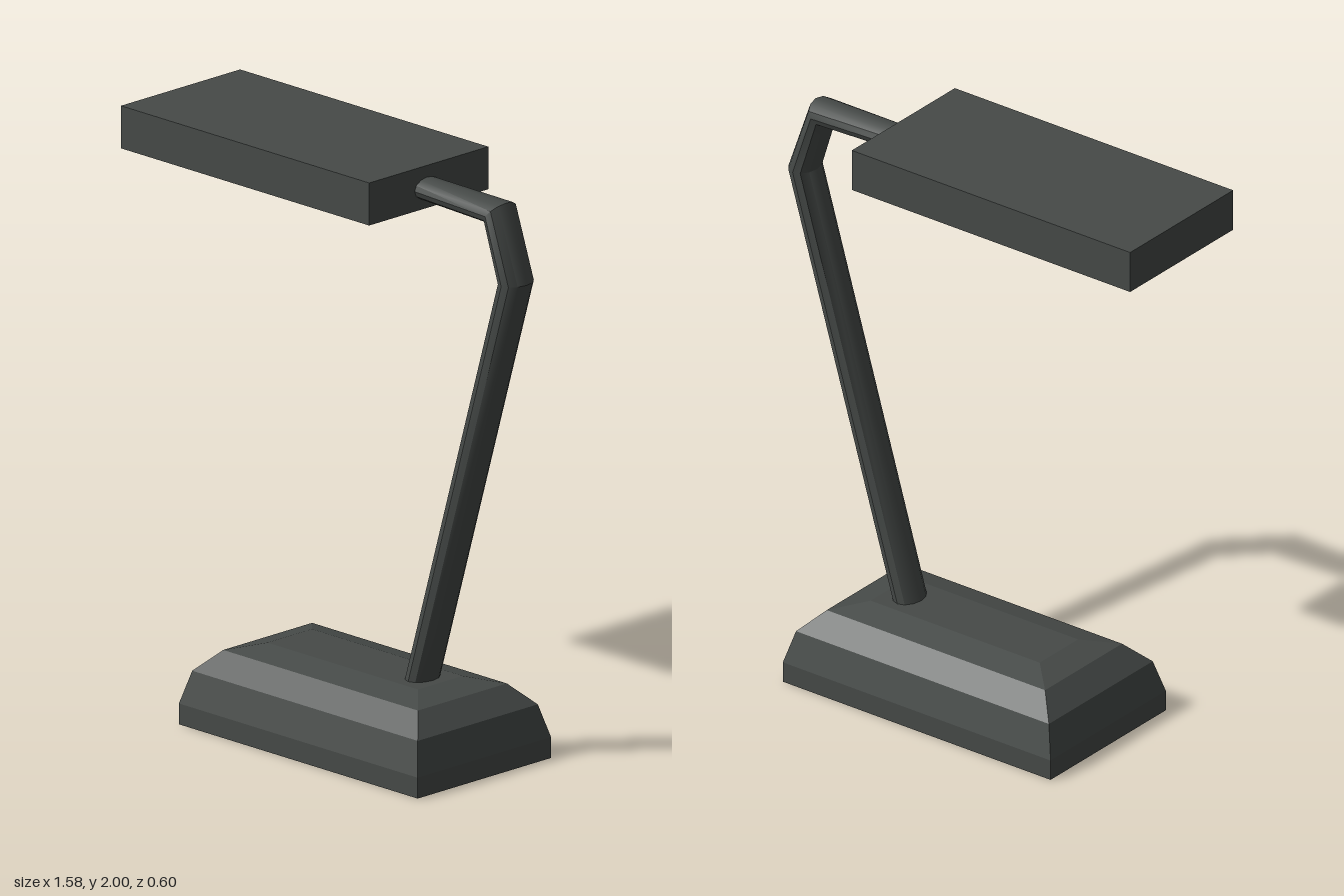
import * as THREE from 'three';
import { toCreasedNormals } from 'three/addons/utils/BufferGeometryUtils.js';

const material = new THREE.MeshStandardMaterial({ color: 0x464a48 });

// Skin a list of equal-sized rings and close both ends.
// Rings run counter-clockwise about the direction of travel.
function loft(rings, crease) {
  const pos = [];
  const tri = (...pts) => pts.forEach((p) => pos.push(...p));
  const n = rings[0].length;
  for (let r = 0; r < rings.length - 1; r++) {
    const a = rings[r], b = rings[r + 1];
    for (let i = 0; i < n; i++) {
      const j = (i + 1) % n;
      tri(a[i], a[j], b[j]);
      tri(a[i], b[j], b[i]);
    }
  }
  const first = rings[0], last = rings[rings.length - 1];
  for (let i = 1; i < n - 1; i++) {
    tri(first[0], first[i + 1], first[i]);
    tri(last[0], last[i], last[i + 1]);
  }
  const g = new THREE.BufferGeometry();
  g.setAttribute('position', new THREE.Float32BufferAttribute(pos, 3));
  return toCreasedNormals(g, crease);
}

// Horizontal rectangle around (cx, cz)
function rectRing(cx, cz, hx, hz, y) {
  return [[1, 1], [1, -1], [-1, -1], [-1, 1]].map(([sx, sz]) => [cx + sx * hx, y, cz + sz * hz]);
}

// Ellipse around (cx, cy, 0): half-axis (ux, uy) in the xy plane, rz along z
function ellipseRing([cx, cy, ux, uy, rz], sides = 12) {
  return Array.from({ length: sides }, (_, i) => {
    const a = (i / sides) * Math.PI * 2;
    return [cx + ux * Math.cos(a), cy + uy * Math.cos(a), -rz * Math.sin(a)];
  });
}

function addPart(group, name, geometry) {
  const mesh = new THREE.Mesh(geometry, material);
  mesh.name = name;
  group.add(mesh);
}

export function createModel() {
  const lamp = new THREE.Group();
  lamp.name = 'deskLamp';

  // Base: stacked rectangles, each inset further, for a rounded shoulder
  const baseSteps = [[0, 0], [0.07, 0], [0.18, 0.03], [0.25, 0.1], [0.275, 0.2]];
  addPart(lamp, 'base', loft(
    baseSteps.map(([y, inset]) => rectRing(0.0525, 0, 0.5425 - inset, 0.3 - inset, y)), 0.1));

  // Arm: oval tube with two mitred elbows
  addPart(lamp, 'arm', loft([
    [0.286, 0.18, 0.047, 0, 0.065],
    [0.738, 1.70, 0.048, 0, 0.066],
    [0.665, 1.918, 0.03, 0.038, 0.066],
    [0.335, 1.924, 0, 0.037, 0.056],
    [0.17, 1.924, 0, 0.037, 0.054],
  ].map((s) => ellipseRing(s)), 0.56));

  // Rounded lamp end under the shade
  addPart(lamp, 'bulb', loft([
    [0.17, 1.922, 0, 0.04, 0.058],
    [0.06, 1.922, 0, 0.04, 0.056],
    [0.015, 1.922, 0, 0.032, 0.043],
    [0, 1.922, 0, 0.017, 0.022],
  ].map((s) => ellipseRing(s)), 0.7));

  // Shade: slab with a tapered recess underneath (ceiling, rim, outer walls, top)
  const shadeSteps = [[1.945, 0.12], [1.857, 0.07], [1.857, 0], [2, 0]];
  addPart(lamp, 'shade', loft(
    shadeSteps.map(([y, inset]) => rectRing(-0.229, -0.007, 0.564 - inset, 0.268 - inset, y)), 0.1));

  return lamp;
}
